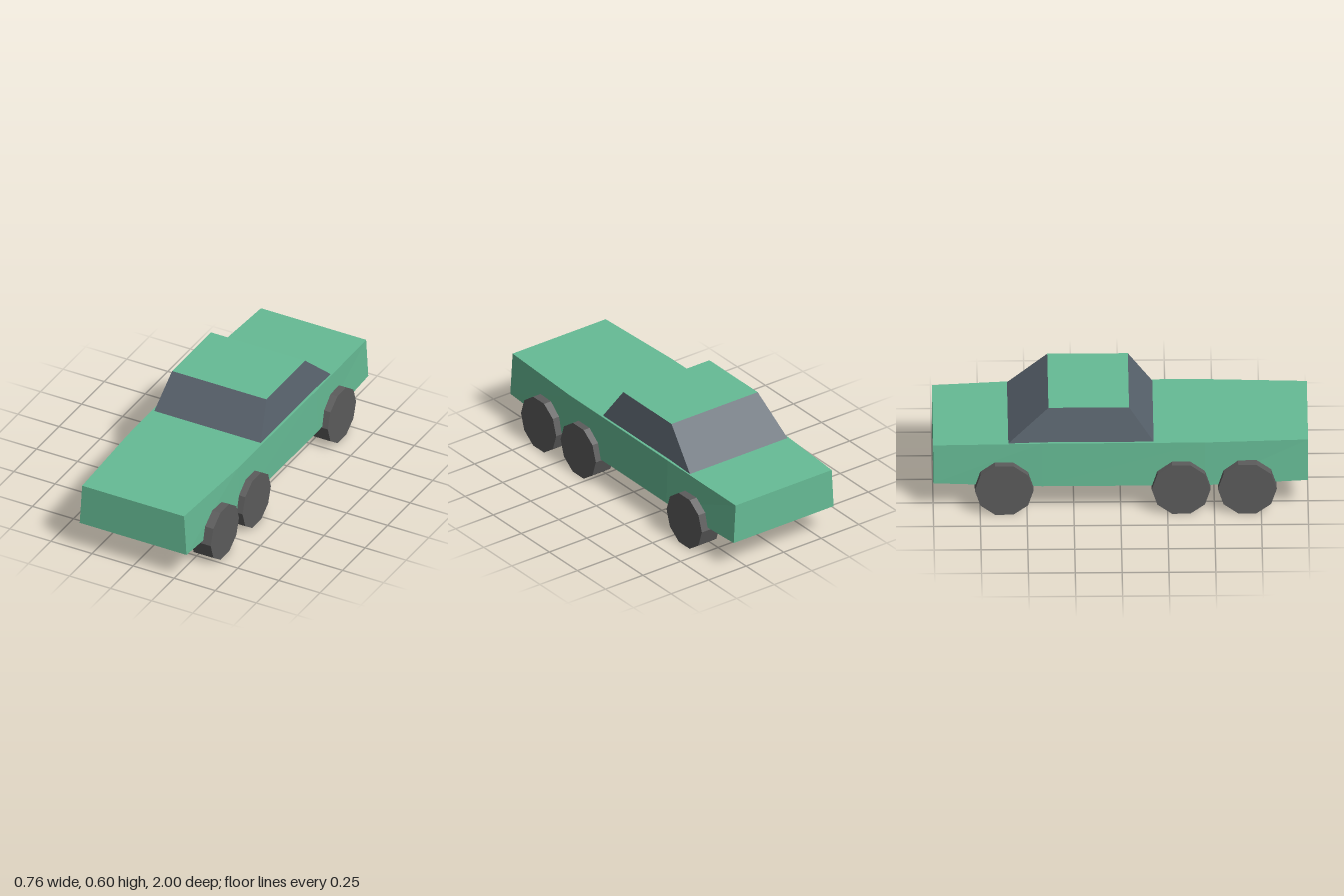
import * as THREE from 'three';

const paint = new THREE.MeshStandardMaterial({ color: 0x66bb95, flatShading: true });
const glass = new THREE.MeshStandardMaterial({ color: 0x59636d, flatShading: true });
const rubber = new THREE.MeshStandardMaterial({ color: 0x5c5c5c, flatShading: true });

// Flat-shaded geometry from four-cornered faces
function quads(faces) {
  const pos = faces.flatMap(([a, b, c, d]) => [a, b, c, a, c, d].flat());
  const g = new THREE.BufferGeometry();
  g.setAttribute('position', new THREE.Float32BufferAttribute(pos, 3));
  g.computeVertexNormals();
  return g;
}

// Skin between neighbouring four-point rings
function skin(rings) {
  const faces = [];
  for (let i = 0; i + 1 < rings.length; i++) {
    for (let k = 0; k < 4; k++) {
      const n = (k + 1) % 4;
      faces.push([rings[i][k], rings[i + 1][k], rings[i + 1][n], rings[i][n]]);
    }
  }
  return faces;
}

function add(group, name, geometry, material) {
  const mesh = new THREE.Mesh(geometry, material);
  mesh.name = name;
  group.add(mesh);
  return mesh;
}

export function createModel() {
  const car = new THREE.Group();
  car.name = 'car';

  // Body cross-sections: z, bottom and top half widths, bottom and top heights
  const body = [
    [1, 0.325, 0.31, 0.172, 0.413],
    [0.45, 0.345, 0.336, 0.155, 0.413],
    [-0.42, 0.347, 0.339, 0.155, 0.413],
    [-1, 0.333, 0.32, 0.169, 0.395],
  ].map(([z, wb, wt, yb, yt]) => [[-wb, yb, z], [wb, yb, z], [wt, yt, z], [-wt, yt, z]]);
  const tail = [...body[3]].reverse();
  add(car, 'body', quads([...skin(body), body[0], tail]), paint);

  // Cabin: sloping windows all round under a painted roof
  const ring = (w, y, front, back) => [[-w, y, front], [w, y, front], [w, y, back], [-w, y, back]];
  const roof = ring(0.287, 0.604, 0.045, -0.385);
  const sill = ring(0.325, 0.407, 0.18, -0.6);
  add(car, 'windows', quads(skin([roof, sill])), glass);
  add(car, 'roof', quads([roof]), paint);

  // Two front axles and one rear axle of ten-sided wheels
  const wheel = new THREE.CylinderGeometry(0.157, 0.157, 0.12, 10).rotateZ(Math.PI / 2);
  const axles = { front: 0.675, middle: 0.322, rear: -0.622 };
  for (const [axle, z] of Object.entries(axles)) {
    for (const side of [1, -1]) {
      const w = add(car, axle + (side > 0 ? 'Left' : 'Right') + 'Wheel', wheel, rubber);
      w.position.set(side * 0.32, 0.149, z);
    }
  }
  return car;
}
